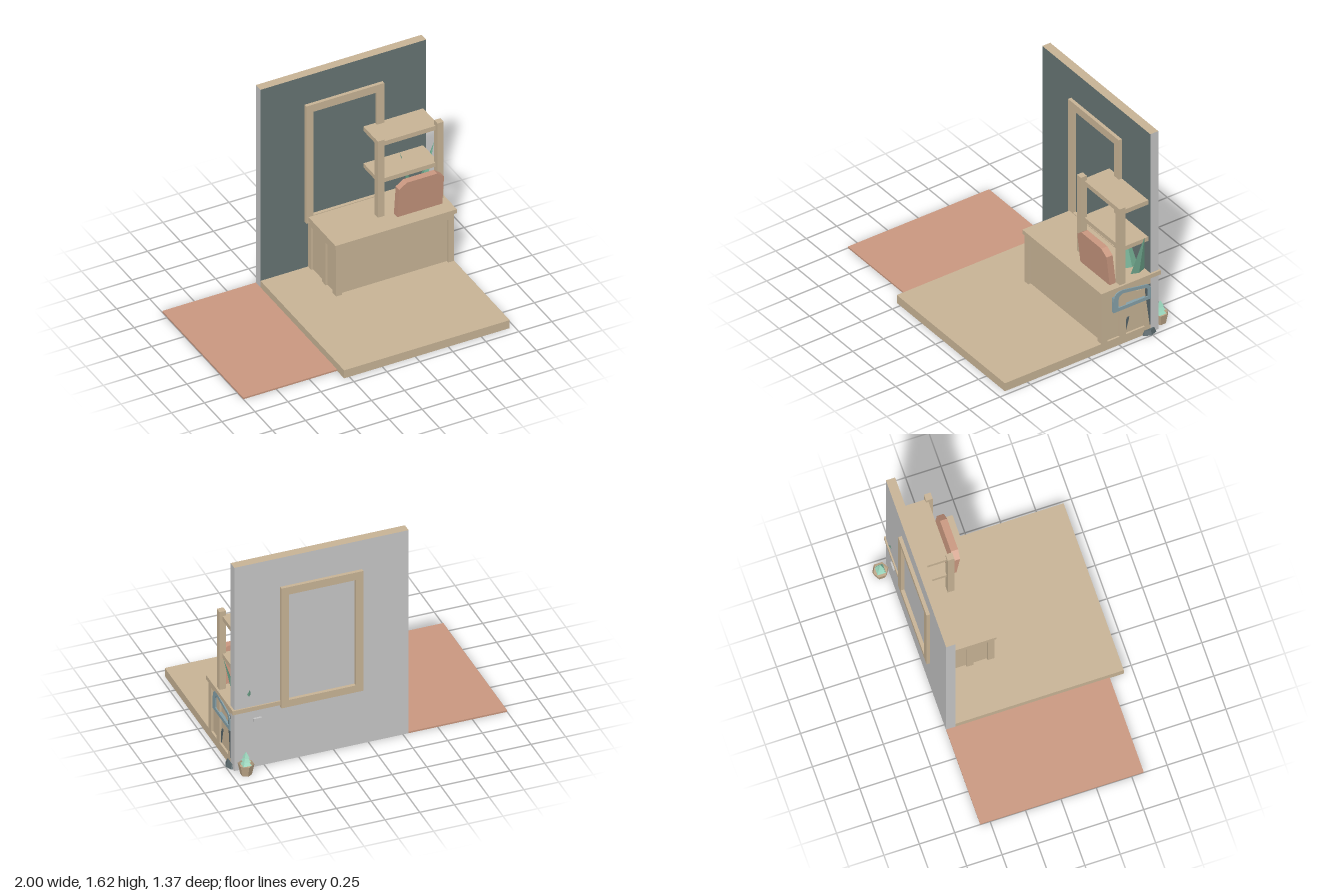
import * as THREE from 'three';

const mat = (name, color, opts = {}) => {
  const m = new THREE.MeshStandardMaterial({ color, ...opts });
  m.name = name;
  return m;
};

export function createModel() {
  const model = new THREE.Group();
  const wood = mat('wood', 0xc8b496);
  const slate = mat('slate paint', 0x667473);
  const grey = mat('grey plaster', 0xc6c6c6);
  const clay = mat('terracotta', 0xca9880);
  const leafGreen = mat('leaf green', 0x74ae93, { flatShading: true });
  const mint = mat('mint green', 0x9bd7bd, { flatShading: true });
  const steel = mat('blue grey', 0x86a1a9);
  const dark = mat('dark slate', 0x566468, { flatShading: true });
  const potWood = mat('pot', 0xc0a98a, { flatShading: true, side: THREE.DoubleSide });

  const add = (name, geo, material, parent = model) => {
    const mesh = new THREE.Mesh(geo, material);
    mesh.name = name;
    parent.add(mesh);
    return mesh;
  };
  // Box given by its extents on each axis
  const box = (name, [x0, x1], [y0, y1], [z0, z1], material, parent) => {
    const geo = new THREE.BoxGeometry(x1 - x0, y1 - y0, z1 - z0);
    geo.translate((x0 + x1) / 2, (y0 + y1) / 2, (z0 + z1) / 2);
    return add(name, geo, material, parent);
  };
  const group = (name) => {
    const g = new THREE.Group();
    g.name = name;
    model.add(g);
    return g;
  };
  const polygon = (pts) => new THREE.Shape(pts.map(([x, y]) => new THREE.Vector2(x, y)));
  // Side profile with points (-z, y), extruded along x
  const sidePlate = (name, shape, x0, x1, material, parent) => {
    const geo = new THREE.ExtrudeGeometry(shape, { depth: x1 - x0, bevelEnabled: false, curveSegments: 5 });
    geo.rotateY(Math.PI / 2).translate(x0, 0, 0);
    return add(name, geo, material, parent);
  };

  // Ground and wall
  box('floor', [-0.29, 0.965], [0, 0.065], [-0.505, 0.685], wood);
  box('outdoorPatch', [-1, -0.29], [0, 0.012], [-0.57, 0.585], clay);
  box('wall', [-0.29, 0.965], [0, 1.62], [-0.57, -0.505], [grey, grey, wood, wood, slate, grey]);

  // Window frame passing through the wall
  const frame = polygon([[0.045, 0.435], [0.635, 0.435], [0.635, 1.39], [0.045, 1.39]]);
  frame.holes.push(polygon([[0.1, 0.49], [0.1, 1.33], [0.58, 1.33], [0.58, 0.49]]));
  const frameGeo = new THREE.ExtrudeGeometry(frame, { depth: 0.115, bevelEnabled: false });
  add('windowFrame', frameGeo.translate(0, 0, -0.595), wood);

  // Counter: recessed core, posts, top rail and overhanging top
  const counter = group('counter');
  box('counterTop', [0.06, 0.98], [0.453, 0.485], [-0.58, -0.095], wood, counter);
  box('counterRail', [0.07, 0.965], [0.412, 0.453], [-0.505, -0.105], wood, counter);
  box('counterPanels', [0.085, 0.95], [0.065, 0.412], [-0.505, -0.125], wood, counter);
  for (const x of [[0.07, 0.115], [0.92, 0.965]])
    for (const z of [[-0.154, -0.105], [-0.304, -0.253], [-0.505, -0.46]])
      box('counterPost', x, [0.065, 0.412], z, wood, counter);

  // Fittings on the counter's end
  const ring = polygon([[0.2, 0.283], [0.505, 0.283], [0.505, 0.365]]);
  ring.quadraticCurveTo(0.5, 0.405, 0.46, 0.41);
  ring.lineTo(0.27, 0.443);
  ring.quadraticCurveTo(0.2, 0.445, 0.2, 0.37);
  const hole = polygon([[0.24, 0.31], [0.24, 0.37]]);
  hole.quadraticCurveTo(0.24, 0.412, 0.28, 0.415);
  hole.lineTo(0.45, 0.388);
  hole.quadraticCurveTo(0.482, 0.38, 0.482, 0.35);
  hole.lineTo(0.482, 0.31);
  ring.holes.push(hole);
  sidePlate('handleRing', ring, 0.945, 0.973, steel);
  sidePlate('diagonalStrut', polygon([[0.305, 0.065], [0.34, 0.065], [0.288, 0.19], [0.272, 0.19]].map(([a, b]) => [0.612 - a, b])), 0.945, 0.956, dark);
  sidePlate('rearStrut', polygon([[0.46, 0.36], [0.5, 0.065], [0.505, 0.065], [0.505, 0.4], [0.47, 0.4]]), 0.945, 0.967, dark);
  box('smallPanel', [0.945, 0.955], [0.28, 0.375], [-0.46, -0.4], wood);
  const foot = add('baseFoot', new THREE.CylinderGeometry(0.055, 0.07, 0.033, 8), dark);
  foot.position.set(0.93, 0.0165, -0.495);

  // Shelf unit
  const shelves = group('shelfUnit');
  for (const x of [[0.467, 0.515], [0.918, 0.965]])
    box('shelfPost', x, [0.485, 1.105], [-0.302, -0.255], wood, shelves);
  for (const y of [[0.735, 0.768], [1.033, 1.068]])
    box('shelf', [0.49, 0.942], y, [-0.505, -0.285], wood, shelves);

  // Chamfered case, leaning forward
  const caseShape = polygon([[0.585, 0.485], [0.925, 0.485], [0.925, 0.722], [0.87, 0.765], [0.64, 0.765], [0.585, 0.722]]);
  const caseGeo = new THREE.ExtrudeGeometry(caseShape, { depth: 0.05, bevelEnabled: false });
  const shear = new THREE.Matrix4().makeShear(0, 0, 0, 0.107, 0, 0);
  caseGeo.translate(0, -0.485, 0).applyMatrix4(shear).translate(0, 0.485, -0.25);
  add('suitcase', caseGeo, clay).geometry.computeVertexNormals();

  // Spiky plant on the counter: four-sided blades with shifted tips
  const plant = group('spikyPlant');
  const blade = (base, tip, wx, wz) => {
    const geo = new THREE.ConeGeometry(1, 1, 4).translate(0, 0.5, 0);
    const p = geo.attributes.position;
    for (let i = 0; i < p.count; i++) {
      const t = p.getY(i);
      p.setXYZ(i,
        base[0] + p.getX(i) * wx + (tip[0] - base[0]) * t,
        base[1] + (tip[1] - base[1]) * t,
        base[2] + p.getZ(i) * wz + (tip[2] - base[2]) * t);
    }
    geo.computeVertexNormals();
    add('blade', geo, leafGreen, plant);
  };
  blade([0.9, 0.485, -0.445], [0.99, 0.82, -0.44], 0.02, 0.056);
  blade([0.82, 0.485, -0.445], [0.73, 0.82, -0.44], 0.02, 0.056);
  blade([0.86, 0.485, -0.35], [0.86, 0.62, -0.3], 0.04, 0.014);
  blade([0.86, 0.485, -0.53], [0.86, 0.635, -0.59], 0.04, 0.016);

  // Potted shrub behind the wall
  const shrub = group('pottedShrub');
  shrub.position.set(0.904, 0, -0.63);
  add('pot', new THREE.CylinderGeometry(0.057, 0.04, 0.082, 6, 1, true).translate(0, 0.041, 0), potWood, shrub);
  add('potBase', new THREE.CylinderGeometry(0.051, 0.04, 0.055, 6).translate(0, 0.0285, 0), potWood, shrub);
  [[0.042, 0.075], [0.036, 0.103], [0.027, 0.131]].forEach(([r, y]) => {
    const tier = new THREE.ConeGeometry(r, 0.045, 4).rotateY(Math.PI / 4).translate(0, y + 0.0225, 0);
    add('shrubTier', tier, mint, shrub);
  });

  // Small fixture on the back of the wall
  box('wallFixture', [0.77, 0.83], [0.367, 0.39], [-0.585, -0.565], grey);

  return model;
}
